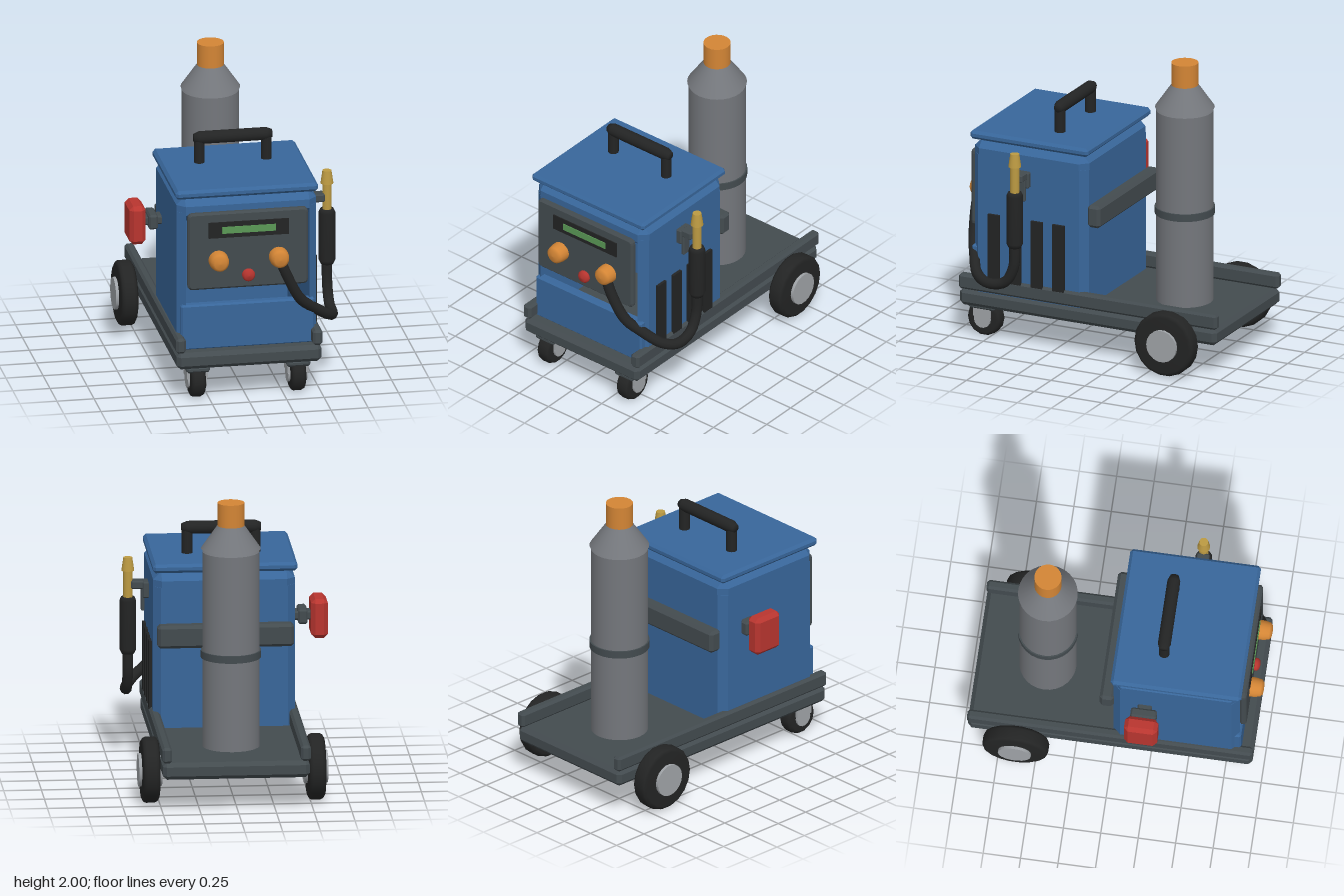
import * as THREE from 'three';
import { ConvexGeometry } from 'three/addons/geometries/ConvexGeometry.js';

const mat = (name, color) => Object.assign(new THREE.MeshStandardMaterial({ color }), { name });

export function createModel() {
  const root = new THREE.Group();
  root.name = 'weldingCart';
  const blue = mat('bluePaint', 0x38669a);
  const grey = mat('darkGrey', 0x434b4f);
  const black = mat('blackRubber', 0x232424);
  const steel = mat('cylinderGrey', 0x74777c);
  const silver = mat('silver', 0x9fa3a7);
  const orange = mat('orange', 0xd38535);
  const red = mat('red', 0xb8352f);
  const green = mat('screenGreen', 0x5a9855);
  const brass = mat('brass', 0xbc9a42);

  const add = (name, geo, material, x = 0, y = 0, z = 0, parent = root) => {
    const m = new THREE.Mesh(geo, material);
    m.name = name;
    m.position.set(x, y, z);
    parent.add(m);
    return m;
  };
  // Box given by its limits
  const box = (name, material, x0, x1, y0, y1, z0, z1) =>
    add(name, new THREE.BoxGeometry(x1 - x0, y1 - y0, z1 - z0), material,
      (x0 + x1) / 2, (y0 + y1) / 2, (z0 + z1) / 2);
  // Box with every edge chamfered by c
  const chamferBox = (name, material, x0, x1, y0, y1, z0, z1, c) => {
    const h = [(x1 - x0) / 2, (y1 - y0) / 2, (z1 - z0) / 2];
    const pts = [];
    for (const sx of [-1, 1]) for (const sy of [-1, 1]) for (const sz of [-1, 1])
      for (let a = 0; a < 3; a++) {
        const d = h.map((v, i) => (i === a ? v : v - c));
        pts.push(new THREE.Vector3(sx * d[0], sy * d[1], sz * d[2]));
      }
    return add(name, new ConvexGeometry(pts), material, (x0 + x1) / 2, (y0 + y1) / 2, (z0 + z1) / 2);
  };
  const cyl = (r0, r1, h, n = 16) => new THREE.CylinderGeometry(r0, r1, h, n);
  const lathe = (pts, n) => new THREE.LatheGeometry(pts.map(p => new THREE.Vector2(...p)), n);

  // Platform and side rails
  chamferBox('deck', grey, -0.475, 0.5, 0.23, 0.345, -0.965, 0.935, 0.027);
  chamferBox('railRight', grey, -0.48, -0.415, 0.345, 0.45, -0.97, 0.935, 0.016);
  chamferBox('railLeft', grey, 0.44, 0.505, 0.345, 0.45, -0.97, 0.935, 0.016);

  // Cabinet: walls open at the front, with chamfered corners
  const X0 = -0.455, X1 = 0.485, Z1 = 0.845, C = 0.05, T = 0.055;
  const plan = new THREE.Shape([
    [X0, -C], [X0 + C, 0], [X1 - C, 0], [X1, -C], [X1, -Z1 + C], [X1 - T, -Z1], [X1 - T, -T],
    [X0 + T, -T], [X0 + T, -Z1], [X0, -Z1 + C],
  ].map(p => new THREE.Vector2(...p)));
  const walls = new THREE.ExtrudeGeometry(plan, { depth: 0.96, bevelEnabled: false });
  walls.rotateX(-Math.PI / 2);
  add('cabinetWalls', walls, blue, 0, 0.34, 0);
  chamferBox('cabinetTop', blue, X0, X1, 1.23, 1.4, 0, Z1, T);
  chamferBox('lid', blue, -0.47, 0.49, 1.4, 1.46, -0.012, 0.86, 0.019);
  chamferBox('lowerFrontPanel', blue, -0.435, 0.465, 0.34, 0.655, 0.79, 0.855, 0.012);
  chamferBox('rearBracket', grey, -0.44, 0.465, 0.905, 1.06, -0.09, 0.005, 0.02);

  // Side vents
  for (let i = 0; i < 4; i++) {
    const z = 0.155 + i * 0.159;
    box('vent', black, 0.47, 0.504, 0.43, 0.9, z, z + 0.086);
  }

  // Control panel
  const P = new THREE.Shape();
  const px = 0.392, py = 0.255, pc = 0.022;
  P.moveTo(-px + pc, -py);
  P.lineTo(px - pc, -py); P.quadraticCurveTo(px, -py, px, -py + pc);
  P.lineTo(px, py - pc); P.quadraticCurveTo(px, py, px - pc, py);
  P.lineTo(-px + pc, py); P.quadraticCurveTo(-px, py, -px, py - pc);
  P.lineTo(-px, -py + pc); P.quadraticCurveTo(-px, -py, -px + pc, -py);
  add('controlPanel', new THREE.ExtrudeGeometry(P, {
    depth: 0.02, bevelThickness: 0.013, bevelSize: 0.013, bevelSegments: 1, curveSegments: 3,
  }), grey, 0.011, 1.037, 0.852);
  box('displayFrame', black, -0.255, 0.285, 1.13, 1.24, 0.86, 0.892);
  box('displayScreen', green, -0.165, 0.195, 1.16, 1.207, 0.89, 0.897);
  for (const x of [-0.19, 0.215]) {
    const knob = lathe([[0.066, 0], [0.066, 0.035], [0.058, 0.075], [0.04, 0.09], [0, 0.094]], 18);
    add('knob', knob, orange, x, 0.975, 0.882).rotation.x = Math.PI / 2;
  }
  const button = lathe([[0.043, 0], [0.043, 0.02], [0.03, 0.035], [0, 0.04]], 16);
  add('button', button, red, 0.012, 0.86, 0.882).rotation.x = Math.PI / 2;

  // Carry handle
  for (const x of [-0.212, 0.239])
    add('handlePost', cyl(0.036, 0.036, 0.18), black, x, 1.54, 0.312);
  const bar = add('handleBar', lathe([[0, -0.263], [0.028, -0.263], [0.043, -0.225], [0.043, 0.225],
    [0.028, 0.263], [0, 0.263]], 14), black, 0.013, 1.632, 0.312);
  bar.rotation.z = Math.PI / 2;

  // Power plug
  chamferBox('plugStem', grey, -0.58, -0.44, 1.02, 1.08, 0.17, 0.265, 0.01);
  chamferBox('plugNut', grey, -0.548, -0.485, 1.0, 1.1, 0.13, 0.305, 0.012);
  chamferBox('plugBody', red, -0.68, -0.57, 0.905, 1.172, 0.105, 0.327, 0.027);

  // Torch, holder and hose
  chamferBox('torchHolderPlate', grey, 0.48, 0.525, 1.13, 1.24, 0.405, 0.51, 0.008);
  chamferBox('torchHolderHook', grey, 0.51, 0.535, 1.04, 1.2, 0.425, 0.49, 0.006);
  chamferBox('torchHolderArm', grey, 0.515, 0.6, 1.19, 1.245, 0.415, 0.5, 0.008);
  add('torchGrip', lathe([[0, 0.745], [0.042, 0.745], [0.056, 0.775], [0.056, 1.105], [0.046, 1.13], [0, 1.13]], 14),
    black, 0.62, 0, 0.457);
  add('torchNeck', cyl(0.031, 0.031, 0.2, 14), brass, 0.62, 1.22, 0.457);
  add('torchNozzle', cyl(0.03, 0.043, 0.09, 14), brass, 0.62, 1.355, 0.457);
  const path = new THREE.CatmullRomCurve3([
    [0.215, 0.975, 0.92], [0.265, 0.85, 0.92], [0.36, 0.67, 0.89], [0.45, 0.59, 0.84],
    [0.57, 0.5, 0.76], [0.62, 0.465, 0.66], [0.622, 0.49, 0.53], [0.62, 0.6, 0.467], [0.62, 0.78, 0.457],
  ].map(p => new THREE.Vector3(...p)));
  add('hose', new THREE.TubeGeometry(path, 40, 0.036, 10), black);

  // Gas cylinder
  const gas = new THREE.Group();
  gas.name = 'gasCylinder';
  gas.position.set(0.013, 0, -0.497);
  root.add(gas);
  add('tank', cyl(0.19, 0.19, 1.33, 28), steel, 0, 1.005, 0, gas);
  add('tankRim', cyl(0.172, 0.19, 0.025, 28), steel, 0, 1.6825, 0, gas);
  add('shoulder', cyl(0.09, 0.198, 0.155, 28), steel, 0, 1.7675, 0, gas);
  add('cap', cyl(0.09, 0.09, 0.155, 24), orange, 0, 1.9225, 0, gas);
  add('band', cyl(0.2, 0.2, 0.05, 28), grey, 0, 0.975, 0, gas);

  // Wheels turn about x; the profile is rounded at the tyre edges
  const wheel = (name, r, w, hubR, hubW, x, y, z, n) => {
    const g = new THREE.Group();
    g.name = name;
    g.position.set(x, y, z);
    g.rotation.z = Math.PI / 2;
    root.add(g);
    const h = w / 2, e = w * 0.25;
    add('tyre', lathe([[0, -h], [r - e, -h], [r - e * 0.3, -h + e * 0.4], [r, -h + e],
      [r, h - e], [r - e * 0.3, h - e * 0.4], [r - e, h], [0, h]], n), black, 0, 0, 0, g);
    add('hub', cyl(hubR, hubR, hubW, n), silver, 0, 0, 0, g);
  };
  for (const s of [-1, 1]) {
    wheel('rearWheel', 0.22, 0.115, 0.11, 0.155, 0.0125 + s * 0.55, 0.225, -0.633, 18);
    const x = 0.0125 + s * 0.3375;
    wheel('caster', 0.122, 0.1, 0.06, 0.13, x, 0.122, 0.802, 14);
    chamferBox('casterPlate', grey, x - 0.08, x + 0.08, 0.19, 0.235, 0.705, 0.9, 0.015);
    for (const t of [-1, 1])
      box('casterFork', silver, x + t * 0.062 - 0.009, x + t * 0.062 + 0.009, 0.14, 0.2, 0.74, 0.865);
  }
  add('rearAxle', cyl(0.017, 0.017, 1.0, 12), silver, 0.0125, 0.212, -0.633).rotation.z = Math.PI / 2;

  return root;
}
